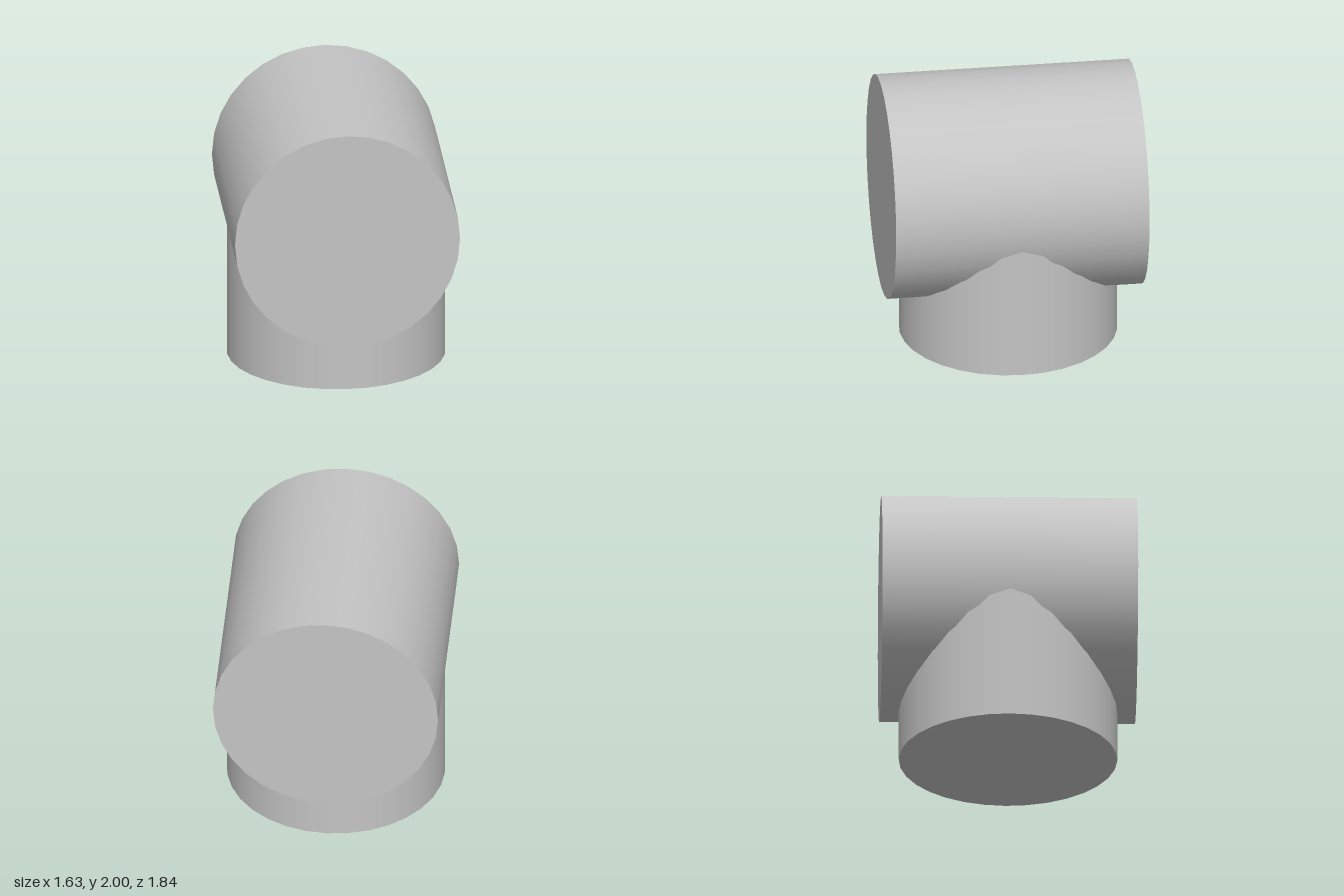
import * as THREE from 'three';

export function createModel() {
  const model = new THREE.Group();
  model.name = 'teeJunction';
  const grey = new THREE.MeshStandardMaterial({ color: 0xc4c4c4 });
  grey.name = 'light grey';

  const mainRadius = 0.813, axisHeight = 2 - mainRadius;
  const addCylinder = (name, radius, length, y) => {
    const mesh = new THREE.Mesh(new THREE.CylinderGeometry(radius, radius, length, 32), grey);
    mesh.name = name;
    mesh.position.y = y;
    model.add(mesh);
    return mesh;
  };

  // Main cylinder lying front to back
  addCylinder('mainCylinder', mainRadius, 1.84, axisHeight).rotation.x = Math.PI / 2;
  // Upright branch, ending on the axis of the main cylinder
  addCylinder('branchCylinder', 0.787, axisHeight, axisHeight / 2);

  return model;
}
